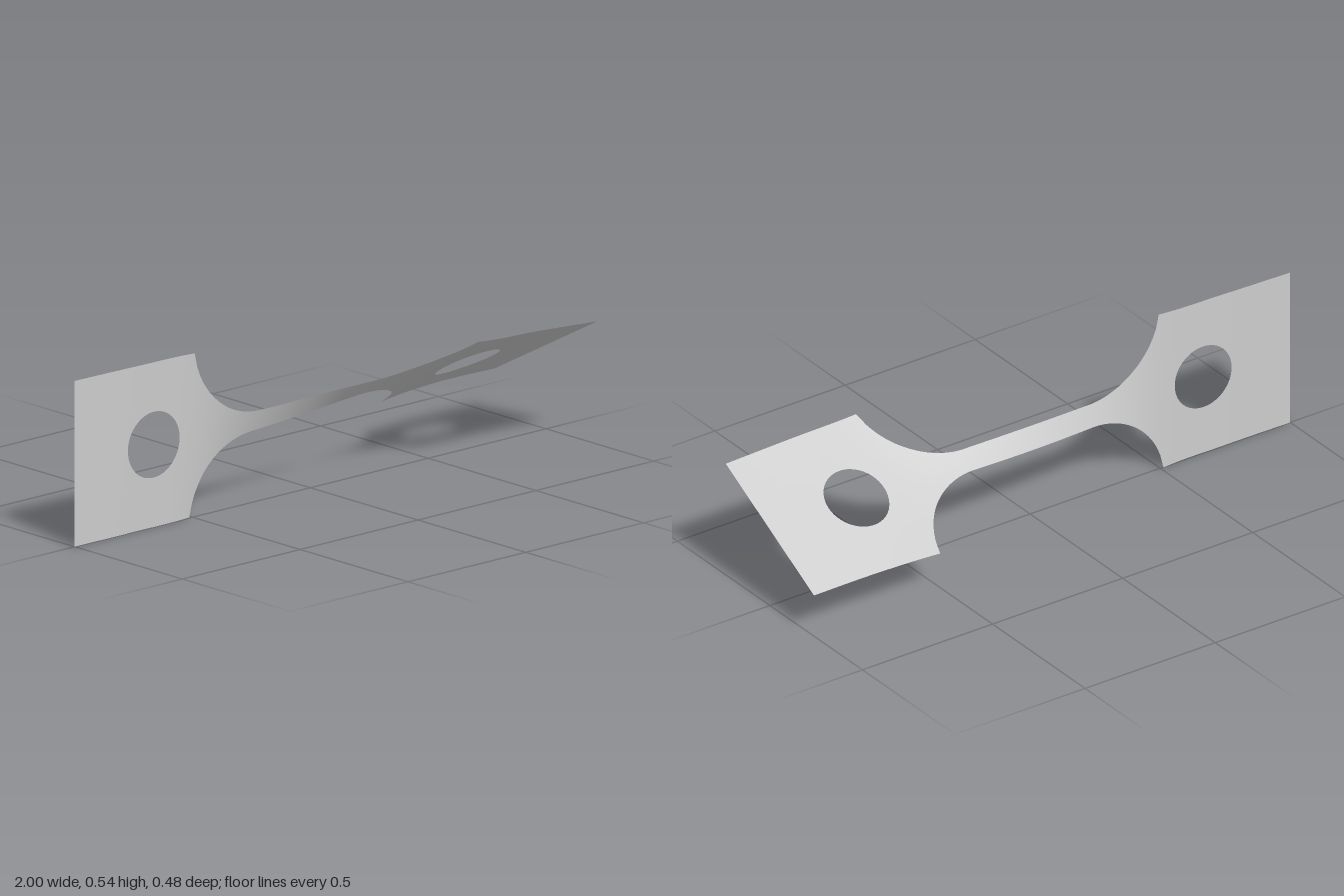
import * as THREE from 'three';
import { mergeGeometries, mergeVertices } from 'three/addons/utils/BufferGeometryUtils.js';
import { ParametricGeometry } from 'three/addons/geometries/ParametricGeometry.js';

const HALF = 0.27;      // half width of the end plates
const NECK = 0.037;     // half width of the neck
const NECK_X = 0.24;    // where the fillets meet the neck
const CORNER_X = 0.51;  // where the fillets meet the plates
const FILLET = 0.273;
const HOLE_X = 0.67;
const HOLE_R = 0.108;

// twist in degrees and bow along the normal, at even steps from x = -1 to 1
const twist = new THREE.CatmullRomCurve3([
  [0, 0], [0.8, 0.005], [3, 0.009], [17.5, 0.011], [31, 0],
  [45, -0.008], [57, -0.007], [60.5, -0.009], [62, 0],
].map(([deg, bow]) => new THREE.Vector3(deg, bow, 0)), false, 'catmullrom', 0.5);

// half width of the flat outline
function halfWidth(x) {
  const a = Math.abs(x);
  if (a >= CORNER_X) return HALF;
  if (a <= NECK_X) return NECK;
  return Math.min(HALF, NECK + FILLET - Math.sqrt(FILLET ** 2 - (a - NECK_X) ** 2));
}

// place a point of the flat outline on the twisted sheet
function place(x, w, target) {
  const p = twist.getPoint((x + 1) / 2);
  const a = THREE.MathUtils.degToRad(p.x);
  target.set(
    x,
    0.27 + 0.00175 * (x + 1) + w * Math.cos(a) - p.y * Math.sin(a),
    w * Math.sin(a) + p.y * Math.cos(a),
  );
}

// sheet patch between two edge functions; xAt maps 0..1 to x
function patch(xAt, low, high, columns, rows) {
  const g = new ParametricGeometry((u, v, target) => {
    const x = xAt(u);
    place(x, THREE.MathUtils.lerp(low(x), high(x), v), target);
  }, columns, rows);
  g.deleteAttribute('normal');
  g.deleteAttribute('uv');
  return g;
}

export function createModel() {
  const group = new THREE.Group();
  const metal = new THREE.MeshStandardMaterial({ color: 0xcccccc, side: THREE.DoubleSide });
  metal.name = 'plain grey';

  const bottom = (x) => -halfWidth(x);
  const patches = [];

  // solid stretches, full width
  const inner = HOLE_X - HOLE_R, outer = HOLE_X + HOLE_R;
  const stops = [
    [-1, -outer, 8], [-inner, -CORNER_X, 3], [-CORNER_X, -NECK_X, 24],
    [-NECK_X, NECK_X, 24], [NECK_X, CORNER_X, 24], [CORNER_X, inner, 3], [outer, 1, 8],
  ];
  for (const [x0, x1, n] of stops) {
    patches.push(patch((u) => THREE.MathUtils.lerp(x0, x1, u), bottom, halfWidth, n, 16));
  }

  // bands above and below each round hole
  for (const side of [-1, 1]) {
    const centre = side * HOLE_X;
    const xAt = (u) => centre - HOLE_R * Math.cos(u * Math.PI);
    const rim = (x) => Math.sqrt(Math.max(0, HOLE_R ** 2 - (x - centre) ** 2));
    patches.push(patch(xAt, rim, halfWidth, 24, 8));
    patches.push(patch(xAt, bottom, (x) => -rim(x), 24, 8));
  }

  const sheet = mergeVertices(mergeGeometries(patches), 1e-5);
  sheet.computeVertexNormals();
  const mesh = new THREE.Mesh(sheet, metal);
  mesh.name = 'twistedLinkPlate';
  group.add(mesh);
  return group;
}
